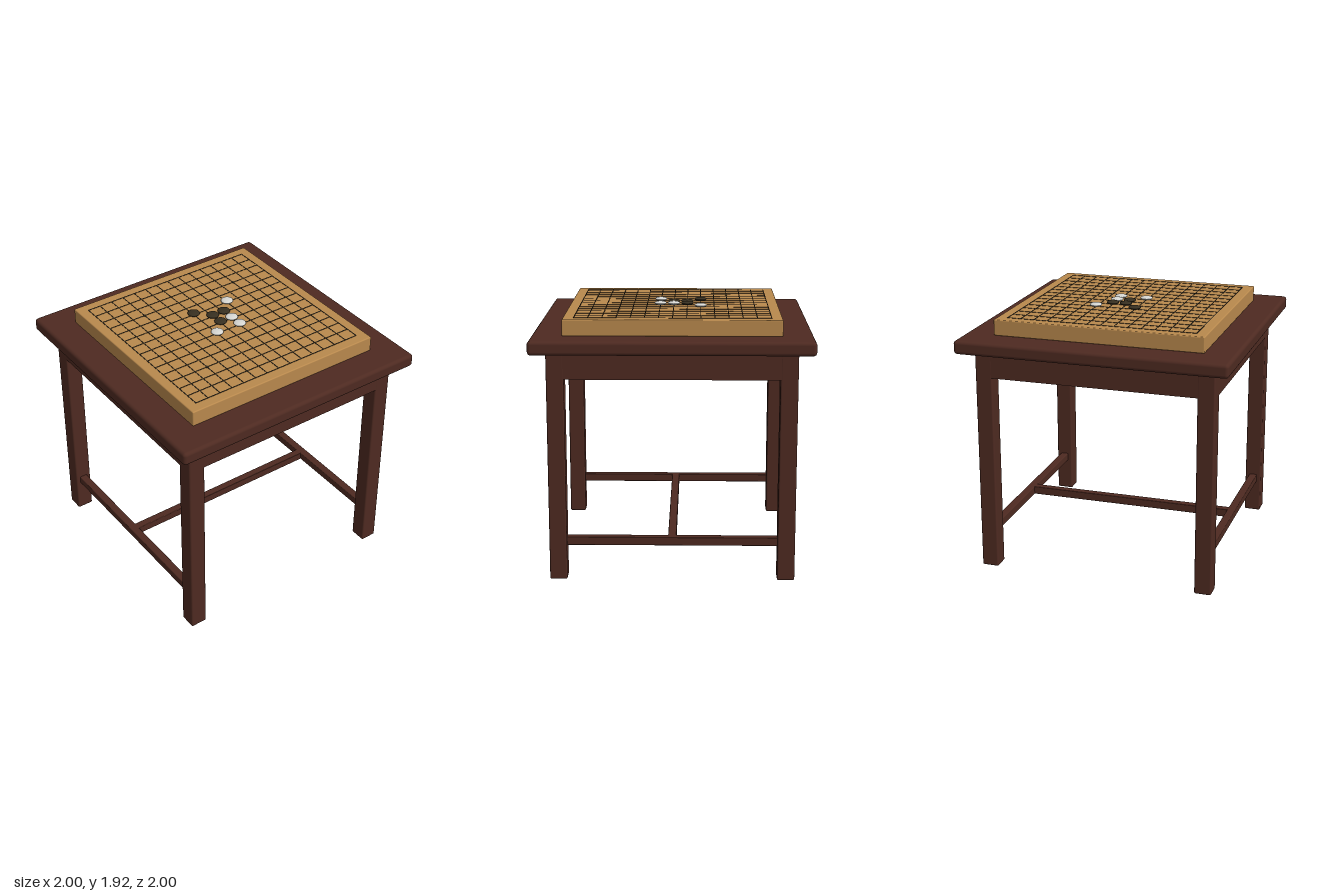
import * as THREE from 'three';
import { RoundedBoxGeometry } from 'three/addons/geometries/RoundedBoxGeometry.js';

const material = (name, color) => {
  const m = new THREE.MeshStandardMaterial({ color });
  m.name = name;
  return m;
};

export function createModel() {
  const model = new THREE.Group();
  model.name = 'boardGameTable';
  const darkWood = material('darkWood', 0x4e2a21);
  const paleWood = material('paleWood', 0xb9894d);
  const ink = material('ink', 0x2e281c);
  const blackStone = material('blackStone', 0x372f20);
  const whiteStone = material('whiteStone', 0xd6d6d2);

  const add = (parent, name, geometry, mat, x, y, z) => {
    const mesh = new THREE.Mesh(geometry, mat);
    mesh.name = name;
    mesh.position.set(x, y, z);
    parent.add(mesh);
    return mesh;
  };
  const rounded = (w, h, d, r) => new RoundedBoxGeometry(w, h, d, 3, r);
  const group = (name) => {
    const g = new THREE.Group();
    g.name = name;
    model.add(g);
    return g;
  };

  // Table top and playing board
  add(model, 'tableTop', rounded(2, 0.1, 2, 0.025), darkWood, 0, 1.72, 0);
  add(model, 'board', rounded(1.556, 0.117, 1.556, 0.008), paleWood, 0, 1.828, 0);

  // Legs
  const legs = group('legs');
  for (const x of [-0.822, 0.822]) {
    for (const z of [-0.822, 0.822]) {
      add(legs, 'leg', rounded(0.126, 1.68, 0.126, 0.012), darkWood, x, 0.84, z);
    }
  }

  // Apron panels below the top, and side stretchers
  const frame = group('frame');
  for (const s of [-1, 1]) {
    add(frame, 'apronPanel', new THREE.BoxGeometry(1.75, 0.19, 0.04), darkWood, 0, 1.575, s * 0.864);
    add(frame, 'apronPanel', new THREE.BoxGeometry(0.04, 0.19, 1.75), darkWood, s * 0.864, 1.575, 0);
    add(frame, 'sideStretcher', rounded(0.06, 0.062, 1.6, 0.006), darkWood, s * 0.822, 0.281, 0);
  }
  add(frame, 'middleStretcher', rounded(1.64, 0.062, 0.06, 0.006), darkWood, 0, 0.281, 0);

  // Fifteen by fifteen grid on the board
  const grid = group('boardGrid');
  const surface = 1.8875;
  for (let i = -7; i <= 7; i++) {
    add(grid, 'gridLine', new THREE.BoxGeometry(0.006, 0.003, 1.406), ink, i * 0.1, surface, 0);
    add(grid, 'gridLine', new THREE.BoxGeometry(1.406, 0.003, 0.006), ink, 0, surface, i * 0.1);
  }
  for (const [x, z] of [[0, 0], [-0.4, -0.4], [0.4, -0.4], [-0.4, 0.4], [0.4, 0.4]]) {
    add(grid, 'starPoint', new THREE.CylinderGeometry(0.011, 0.011, 0.004, 16), ink, x, surface, z);
  }

  // Lens-shaped stones resting on the crossings
  const stones = group('stones');
  const stone = new THREE.SphereGeometry(0.046, 28, 16).scale(1, 0.32, 1);
  const place = (name, mat, spots) => {
    for (const [x, z] of spots) add(stones, name, stone, mat, x, 1.902, z);
  };
  place('darkStone', blackStone, [[-0.1, -0.2], [0, -0.1], [0.1, -0.1], [0, 0]]);
  place('lightStone', whiteStone, [[0.2, -0.2], [0.1, 0], [-0.1, 0.1], [0.1, 0.1]]);

  return model;
}
